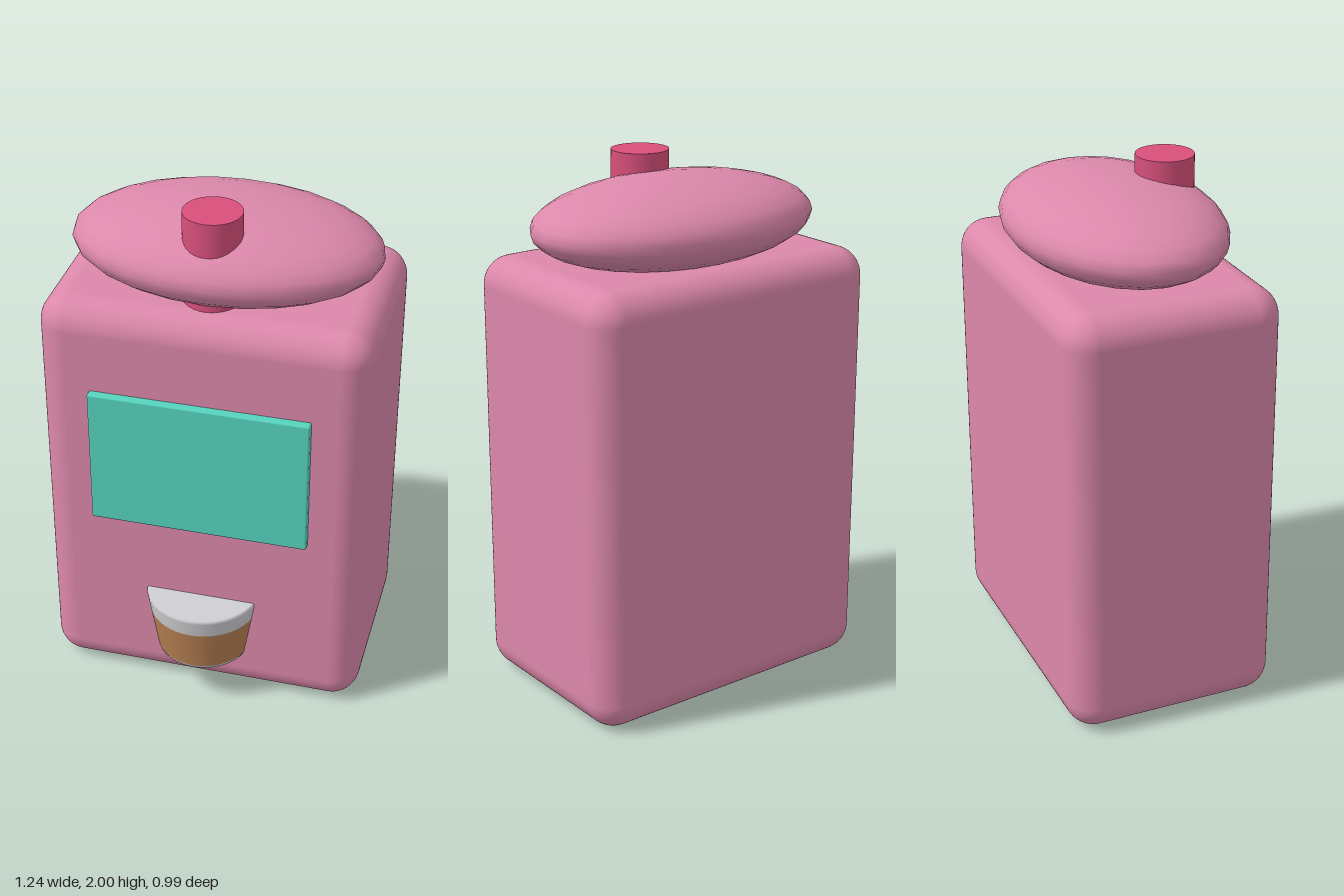
import * as THREE from 'three';
import { RoundedBoxGeometry } from 'three/addons/geometries/RoundedBoxGeometry.js';

function material(name, color, side = THREE.FrontSide) {
  const m = new THREE.MeshStandardMaterial({ color, side });
  m.name = name;
  return m;
}

export function createModel() {
  const group = new THREE.Group();
  const pink = material('pink', 0xdc88aa);
  const rose = material('rose', 0xd8507c);
  const teal = material('teal', 0x56d3be);
  const coffee = material('coffee brown', 0xb98154);
  const grey = material('light grey', 0xcfcfd3);

  function add(name, geometry, mat, x, y, z) {
    const mesh = new THREE.Mesh(geometry, mat);
    mesh.name = name;
    mesh.position.set(x, y, z);
    group.add(mesh);
    return mesh;
  }

  // Rounded cabinet
  add('body', new RoundedBoxGeometry(1.236, 1.655, 0.82, 6, 0.11), pink, 0, 0.8275, -0.083);

  // Flattened oval lid, with a knob running down through its front half
  const lid = new THREE.SphereGeometry(1, 24, 16);
  lid.scale(0.58, 0.165, 0.387);
  add('lid', lid, pink, 0, 1.775, -0.083);
  add('knob', new THREE.CylinderGeometry(0.109, 0.109, 0.38, 32), rose, 0, 1.81, 0.125);

  // Front display panel
  add('screen', new RoundedBoxGeometry(0.83, 0.55, 0.05, 2, 0.007), teal, 0, 1.04, 0.334);

  // Cup set half into the front: each band is a lathed section of one taper
  const bands = [
    ['cupBase', grey, [[0, 0.17], [0.165, 0.17], [0.18, 0.178], [0.184, 0.19]]],
    ['cupDrink', coffee, [[0.184, 0.19], [0.212, 0.365]]],
    ['cupRim', grey, [[0.212, 0.365], [0.222, 0.43], [0.221, 0.439], [0.215, 0.443], [0, 0.443]]],
  ];
  for (const [name, mat, profile] of bands) {
    const points = profile.map(([r, y]) => new THREE.Vector2(r, y));
    add(name, new THREE.LatheGeometry(points, 48), mat, 0, 0, 0.27);
  }

  return group;
}
